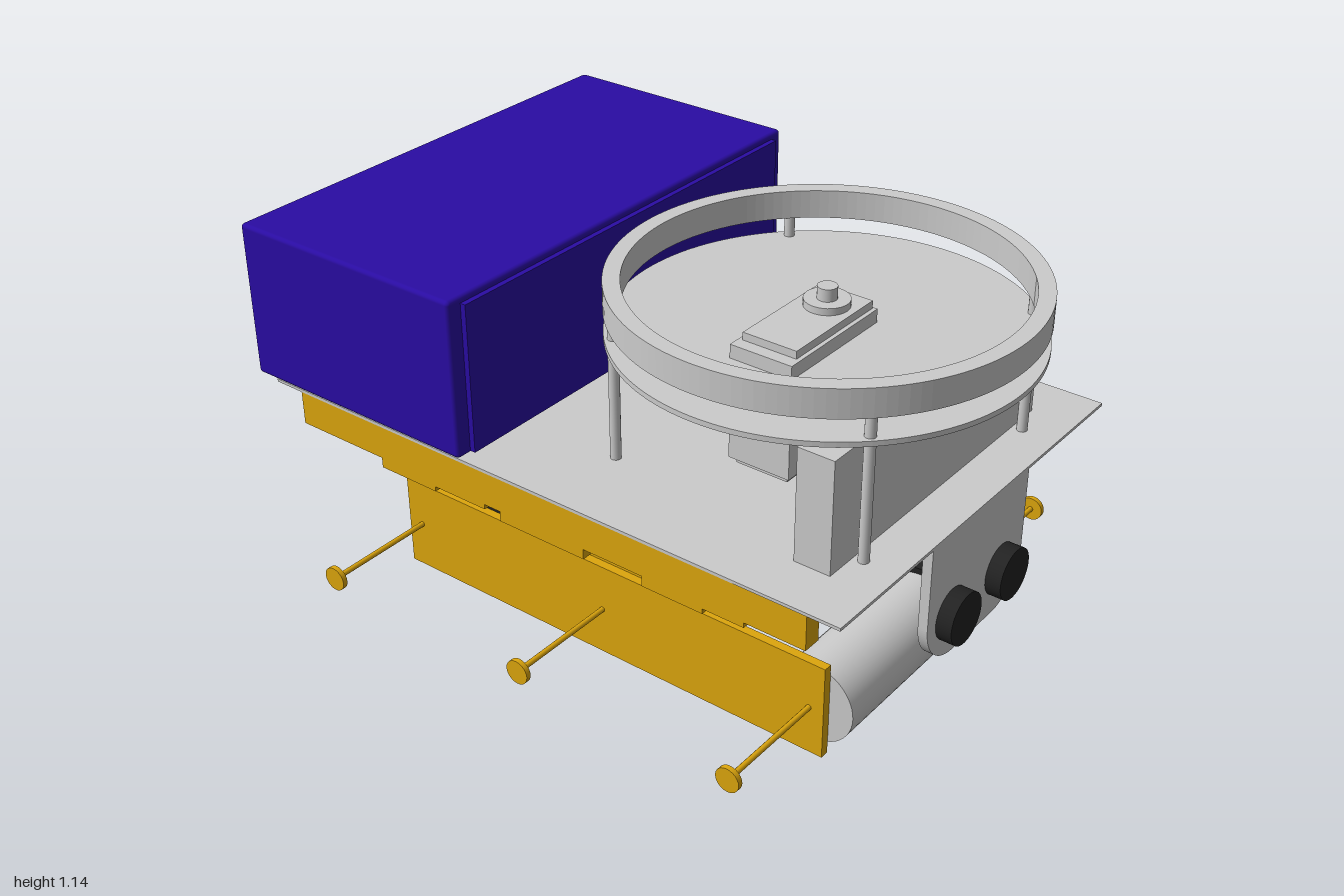
import * as THREE from 'three';
import { RoundedBoxGeometry } from 'three/addons/geometries/RoundedBoxGeometry.js';

const material = (color) => new THREE.MeshStandardMaterial({ color });

export function createModel() {
  const model = new THREE.Group();
  const grey = material(0xcccccc);
  const yellow = material(0xdda60d);
  const blue = material(0x2a0ca4);
  const dark = material(0x222222);

  const add = (name, geometry, mat) => {
    const mesh = new THREE.Mesh(geometry, mat);
    mesh.name = name;
    model.add(mesh);
    return mesh;
  };
  // Box given by its extents on each axis
  const box = (name, mat, [x0, x1], [y0, y1], [z0, z1], radius = 0) => {
    const s = [x1 - x0, y1 - y0, z1 - z0];
    const geo = radius ? new RoundedBoxGeometry(...s, 2, radius) : new THREE.BoxGeometry(...s);
    add(name, geo, mat).position.set((x0 + x1) / 2, (y0 + y1) / 2, (z0 + z1) / 2);
  };
  // Cylinder along an axis, from a to b; (x, y, z) fixes the other two coordinates
  const rod = (name, mat, axis, r, a, b, { x = 0, y = 0, z = 0 }, sides = 32) => {
    const geo = new THREE.CylinderGeometry(r, r, b - a, sides);
    if (axis === 'x') geo.rotateZ(Math.PI / 2);
    if (axis === 'z') geo.rotateX(Math.PI / 2);
    const mesh = add(name, geo, mat);
    mesh.position.set(x, y, z);
    mesh.position[axis] = (a + b) / 2;
  };
  const circle = (x, y, r) => new THREE.Path().absarc(x, y, r, 0, Math.PI * 2, true);
  // Flat disc with holes lying in the xz plane, extruded upwards
  const flatDisc = (name, r, holes, y0, y1, x) => {
    const shape = new THREE.Shape().absarc(0, 0, r, 0, Math.PI * 2, false);
    shape.holes.push(...holes);
    const geo = new THREE.ExtrudeGeometry(shape, { depth: y1 - y0, bevelEnabled: false, curveSegments: 64 });
    geo.rotateX(-Math.PI / 2);
    add(name, geo, grey).position.set(x, y0, 0);
  };

  // Deck plate and frame
  box('deck', grey, [-0.98, 0.92], [0.632, 0.641], [-0.645, 0.645]);
  const beams = [
    [-0.58, -0.38, 0.5], [-0.38, -0.2, 0.515],
    [-0.145, 0.14, 0.5],
    [0.33, 0.52, 0.5], [0.52, 0.645, 0.515],
  ];
  for (const [x0, x1, y0] of beams) box('crossBeam', yellow, [x0, x1], [y0, 0.532], [-0.643, 0.643]);

  for (const s of [-1, 1]) {
    const span = (a, b) => (s > 0 ? [a, b] : [-b, -a]);
    box('frameRail', yellow, [-0.885, 0.825], [0.53, 0.632], span(0.59, 0.643));
    box('sidePost', yellow, [-0.145, 0.14], [0.24, 0.5], span(0.357, 0.387));
    box('sideWall', yellow, [-0.74, 0.735], [0, 0.287], span(0.387, 0.413));

    // Side pins with flat heads
    for (const x of [-0.69, 0, 0.69]) {
      rod('sidePin', yellow, 'z', 0.008, ...span(0.4, 0.755), { x, y: 0.145 }, 12);
      rod('sidePinHead', yellow, 'z', 0.036, ...span(0.75, 0.765), { x, y: 0.145 }, 24);
    }

    // Drive motors with a wheel on alternate sides
    const motor = span(-0.115, 0.387);
    const tyre = span(-0.21, -0.115);
    rod('motor', grey, 'z', 0.118, ...motor, { x: s * 0.69, y: 0.145 }, 48);
    rod('wheel', dark, 'z', 0.136, ...tyre, { x: s * 0.69, y: 0.145 }, 48);

    // Distance sensor eyes
    rod('sensorEye', dark, 'x', 0.075, 0.918, 0.966, { y: 0.38, z: s * 0.123 });
  }

  // Sensor bracket with rounded lower corners
  const w = 0.238, low = 0.25, r = 0.14;
  const bracket = new THREE.Shape();
  bracket.moveTo(-w, 0.635);
  bracket.lineTo(-w, low + r);
  bracket.absarc(-w + r, low + r, r, Math.PI, Math.PI * 1.5, false);
  bracket.absarc(w - r, low + r, r, Math.PI * 1.5, Math.PI * 2, false);
  bracket.lineTo(w, 0.635);
  const bracketGeo = new THREE.ExtrudeGeometry(bracket, { depth: 0.028, bevelEnabled: false, curveSegments: 16 });
  bracketGeo.rotateY(Math.PI / 2);
  add('sensorBracket', bracketGeo, grey).position.x = 0.892;
  box('bracketFlange', grey, [0.828, 0.9], [0.604, 0.632], [-w, w]);

  // Storage case with lid, knob and feet
  box('case', blue, [-0.98, -0.22], [0.69, 1.143], [-0.705, 0.705], 0.012);
  box('caseLid', blue, [-0.235, -0.204], [0.697, 1.125], [-0.66, 0.66]);
  rod('caseKnob', dark, 'x', 0.076, -1, -0.97, { y: 0.917 });
  for (const x of [-0.935, -0.455])
    for (const z of [-0.5, 0.5]) rod('caseFoot', grey, 'y', 0.018, 0.64, 0.695, { x, z }, 16);

  // Round turntable: plate, raised ring and posts
  const cx = 0.427;
  const screwHoles = [];
  for (const x of [-0.047, 0.047])
    for (const z of [-0.135, 0.33]) screwHoles.push(circle(x, -z, 0.019));
  flatDisc('turntablePlate', 0.571, screwHoles, 0.979, 0.994, cx);
  flatDisc('turntableRing', 0.571, [circle(0, 0, 0.525)], 1.055, 1.136, cx);
  for (const x of [-0.387, 0.387])
    for (const z of [-0.387, 0.387]) rod('turntablePost', grey, 'y', 0.015, 0.64, 1.06, { x: cx + x, z }, 16);

  // Battery block standing under the turntable
  box('battery', grey, [0.68, 0.786], [0.641, 0.964], [-0.492, 0.49]);

  // Servo through the plate: body, tapered foot, mounting tab and stepped top
  const sx = [0.333, 0.52];
  box('servoBody', grey, sx, [0.705, 1.033], [-0.095, 0.287]);
  box('servoFoot', grey, [0.347, 0.506], [0.687, 0.706], [-0.08, 0.272]);
  box('servoTab', grey, sx, [0.963, 0.98], [-0.155, 0.29]);
  box('servoTop', grey, [0.345, 0.508], [1.03, 1.055], [-0.09, 0.25]);
  rod('servoGearHousing', grey, 'y', 0.062, 1.05, 1.075, { x: cx });
  rod('servoShaft', grey, 'y', 0.027, 1.07, 1.11, { x: cx }, 24);

  return model;
}
